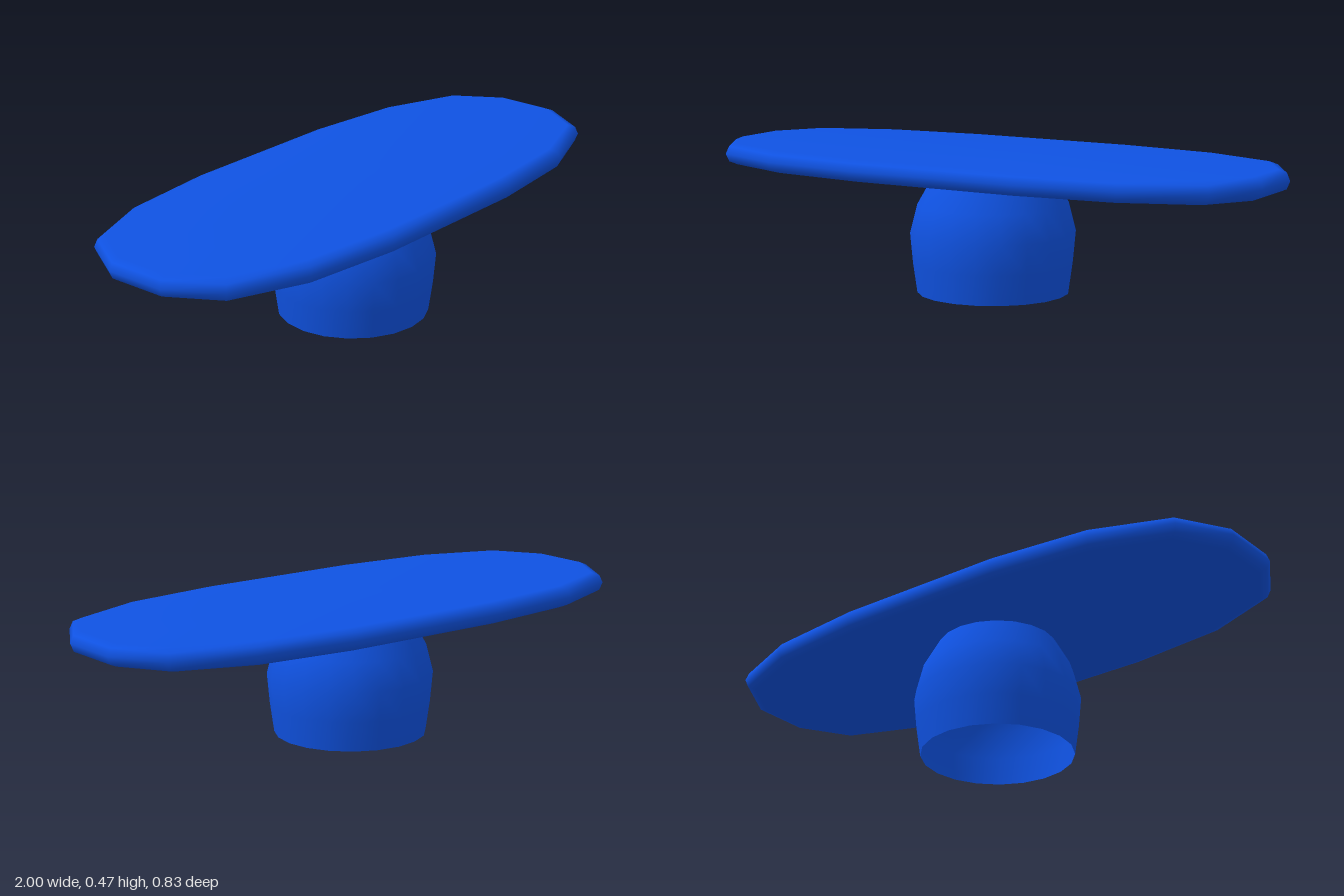
import * as THREE from 'three';

const blue = new THREE.MeshStandardMaterial({ color: 0x0f52e2, side: THREE.DoubleSide });
blue.name = 'blue';

// Sixteen-sided oval outline, mirrored from one quadrant
function ovalOutline() {
  const quadrant = [[1, 0.105], [0.9, 0.275], [0.645, 0.377], [0.3, 0.416]];
  const back = quadrant.slice().reverse();
  return [
    ...quadrant,
    ...back.map(([x, z]) => [-x, z]),
    ...quadrant.map(([x, z]) => [-x, -z]),
    ...back.map(([x, z]) => [x, -z]),
  ];
}

// Rounded slab made of stacked oval rings, capped at both ends
function slabGeometry() {
  const outline = ovalOutline();
  const n = outline.length;
  const rings = [[0.393, 0.036], [0.404, 0.01], [0.43, 0], [0.455, 0.01], [0.466, 0.036]]; // height, inset
  const positions = [];
  const index = [];
  for (const [y, inset] of rings) {
    for (const [x, z] of outline) {
      positions.push(x * (1 - inset), y, z * (1 - inset / 0.416));
    }
  }
  const bottom = rings.length * n;
  const top = bottom + 1;
  positions.push(0, rings[0][0], 0, 0, rings[rings.length - 1][0], 0);
  for (let i = 0; i < n; i++) {
    const j = (i + 1) % n;
    for (let r = 0; r < rings.length - 1; r++) {
      const a = r * n + i, b = r * n + j;
      index.push(a, a + n, b, b, a + n, b + n);
    }
    const last = (rings.length - 1) * n;
    index.push(bottom, i, j, top, last + j, last + i);
  }
  const geometry = new THREE.BufferGeometry();
  geometry.setAttribute('position', new THREE.Float32BufferAttribute(positions, 3));
  geometry.setIndex(index);
  geometry.computeVertexNormals();
  return geometry;
}

export function createModel() {
  const model = new THREE.Group();
  model.name = 'pedestalTable';

  // Oval top
  const top = new THREE.Mesh(slabGeometry(), blue);
  top.name = 'tableTop';
  model.add(top);

  // Hollow bulging base, open underneath
  const profile = [[0.253, 0], [0.267, 0.1], [0.276, 0.2], [0.252, 0.295], [0.193, 0.4]]
    .map(([r, y]) => new THREE.Vector2(r, y));
  const base = new THREE.Mesh(new THREE.LatheGeometry(profile, 20), blue);
  base.name = 'base';
  base.position.set(-0.004, 0, 0.002);
  model.add(base);

  return model;
}
